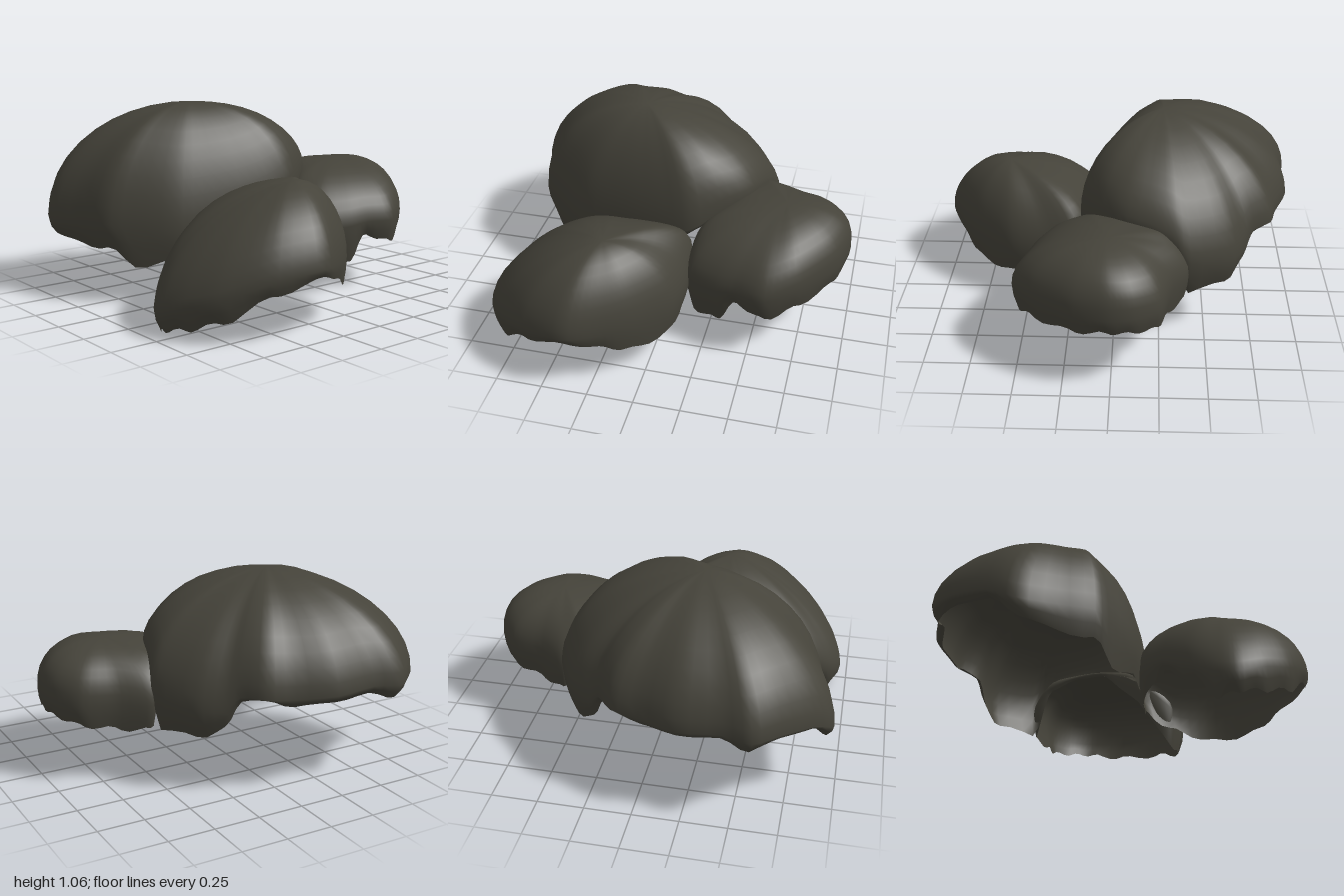
import * as THREE from 'three';

const SIDES = 72, RINGS = 10;

// Open shell: apex [x, y, z], outline rows [x, z, shoulder height, rim height, squareness of the slope]
function shell(name, material, apex, outline, seed) {
  const loop = (rows, tension) => new THREE.CatmullRomCurve3(
    rows.map((r) => new THREE.Vector3(...r)), true, 'catmullrom', tension);
  const shoulder = loop(outline.map((r) => [r[0], r[2], r[1]]), 0.4);
  const rim = loop(outline.map((r) => [0, r[3], r[4]]), 0.1);
  const top = new THREE.Vector3(...apex);
  const pos = [], index = [];
  for (let k = 0; k <= RINGS + 2; k++) {
    for (let i = 0; i < SIDES; i++) {
      const s = shoulder.getPoint(i / SIDES), e = rim.getPoint(i / SIDES);
      const v = new THREE.Vector3();
      if (k <= RINGS) {
        // crown, from apex to shoulder, with faint dents
        const f = Math.sin((k / RINGS) * Math.PI / 2);
        v.lerpVectors(top, s, f);
        v.y = s.y + (top.y - s.y) * Math.pow(Math.max(0, 1 - Math.pow(f, e.z)), 1 / e.z);
        v.y += 0.02 * f * f * (1 - f) * Math.sin((i / SIDES) * Math.PI * 6 + seed);
      } else {
        // ragged skirt, curling slightly inward
        const f = (k - RINGS) / 2, pull = 0.05 * f * f;
        const jag = 0.014 * Math.sin(i * 1.3 + seed) * Math.min(1, Math.abs(s.y - e.y) * 8);
        v.set(s.x, s.y + (e.y + jag - s.y) * f, s.z);
        v.x += (top.x - v.x) * pull;
        v.z += (top.z - v.z) * pull;
      }
      pos.push(v.x, v.y, v.z);
    }
  }
  for (let k = 0; k < RINGS + 2; k++) {
    for (let i = 0; i < SIDES; i++) {
      const j = (i + 1) % SIDES;
      const a = k * SIDES + i, b = a + SIDES, c = (k + 1) * SIDES + j, d = k * SIDES + j;
      index.push(a, b, c);
      if (k > 0) index.push(a, c, d);
    }
  }
  const geo = new THREE.BufferGeometry();
  geo.setAttribute('position', new THREE.Float32BufferAttribute(pos, 3));
  geo.setIndex(index);
  geo.computeVertexNormals();
  // all apex points share one upright normal
  for (let i = 0; i < SIDES; i++) geo.attributes.normal.setXYZ(i, 0, 1, 0);
  const mesh = new THREE.Mesh(geo, material);
  mesh.name = name;
  return mesh;
}

export function createModel() {
  const group = new THREE.Group();
  group.name = 'domeCluster';
  const dark = new THREE.MeshStandardMaterial({ color: 0x45433a, side: THREE.DoubleSide });
  dark.name = 'darkOlive';

  // Tall dome at the front left of the cluster
  group.add(shell('largeDome', dark, [-0.26, 1.06, 0.24], [
    [-0.03, -0.4, 0.67, 0.66, 1.9], [-0.18, -0.46, 0.66, 0.65, 1.8], [-0.31, -0.5, 0.6, 0.58, 1.8],
    [-0.41, -0.52, 0.5, 0.3, 1.8],
    [-0.62, -0.41, 0.46, 0.31, 1.85], [-0.71, -0.29, 0.46, 0.36, 1.9], [-0.76, -0.22, 0.54, 0.51, 1.9],
    [-0.86, -0.13, 0.54, 0.53, 1.9],
    [-0.9, 0.02, 0.53, 0.48, 1.85], [-0.98, 0.22, 0.54, 0.5, 1.85], [-0.97, 0.45, 0.55, 0.5, 1.85],
    [-1.0, 0.6, 0.54, 0.47, 1.85], [-0.9, 0.73, 0.54, 0.5, 1.9], [-0.74, 0.88, 0.5, 0.47, 1.9],
    [-0.6, 0.97, 0.42, 0.35, 1.85], [-0.4, 0.91, 0.43, 0.3, 1.9], [-0.21, 0.86, 0.44, 0.31, 1.95],
    [-0.1, 0.75, 0.42, 0.21, 1.9], [0.04, 0.58, 0.4, 0.24, 1.85], [0.1, 0.42, 0.42, 0.25, 1.85],
    [0.16, 0.2, 0.46, 0.28, 1.9], [0.19, 0.03, 0.5, 0.4, 2], [0.19, -0.12, 0.56, 0.52, 2.2],
    [0.1, -0.27, 0.63, 0.61, 2.2],
  ], 0.4));

  // Low dome on the right, leaning down toward the front
  group.add(shell('rightDome', dark, [0.62, 0.72, 0.25], [
    [0.38, -0.15, 0.34, 0.24, 1.9], [0.2, -0.12, 0.48, 0.32, 2], [0.15, 0.1, 0.45, 0.25, 2.1],
    [0.11, 0.3, 0.38, 0.15, 2.1], [0.07, 0.48, 0.32, 0.16, 1.9], [0.15, 0.62, 0.31, 0.25, 1.85],
    [0.25, 0.8, 0.22, 0.15, 1.75], [0.36, 0.92, 0.13, 0.01, 1.65], [0.46, 0.96, 0.12, 0.03, 1.6],
    [0.6, 0.92, 0.17, 0.06, 1.6], [0.76, 0.82, 0.22, 0.11, 1.65], [0.92, 0.62, 0.31, 0.24, 1.75],
    [1.0, 0.37, 0.35, 0.31, 1.8], [0.91, 0.18, 0.34, 0.25, 1.9], [0.8, 0.04, 0.33, 0.18, 2],
    [0.6, -0.11, 0.32, 0.17, 2],
  ], 1.7));

  // Low flat-topped dome at the back
  group.add(shell('backDome', dark, [0.03, 0.71, -0.62], [
    [0.02, -0.98, 0.45, 0.37, 2.6], [-0.12, -0.96, 0.45, 0.36, 2.5], [-0.25, -0.86, 0.44, 0.33, 2.3],
    [-0.31, -0.68, 0.44, 0.3, 2.2], [-0.4, -0.52, 0.44, 0.3, 2], [-0.31, -0.44, 0.6, 0.58, 2],
    [-0.15, -0.4, 0.66, 0.65, 2], [0.0, -0.33, 0.66, 0.65, 2], [0.17, -0.16, 0.54, 0.44, 1.9],
    [0.37, -0.14, 0.38, 0.17, 1.9],
    [0.46, -0.3, 0.38, 0.17, 1.9], [0.49, -0.42, 0.4, 0.32, 1.9], [0.53, -0.58, 0.4, 0.27, 1.9],
    [0.43, -0.75, 0.43, 0.31, 2.1], [0.21, -0.92, 0.44, 0.34, 2.4],
  ], 3.1));

  return group;
}
